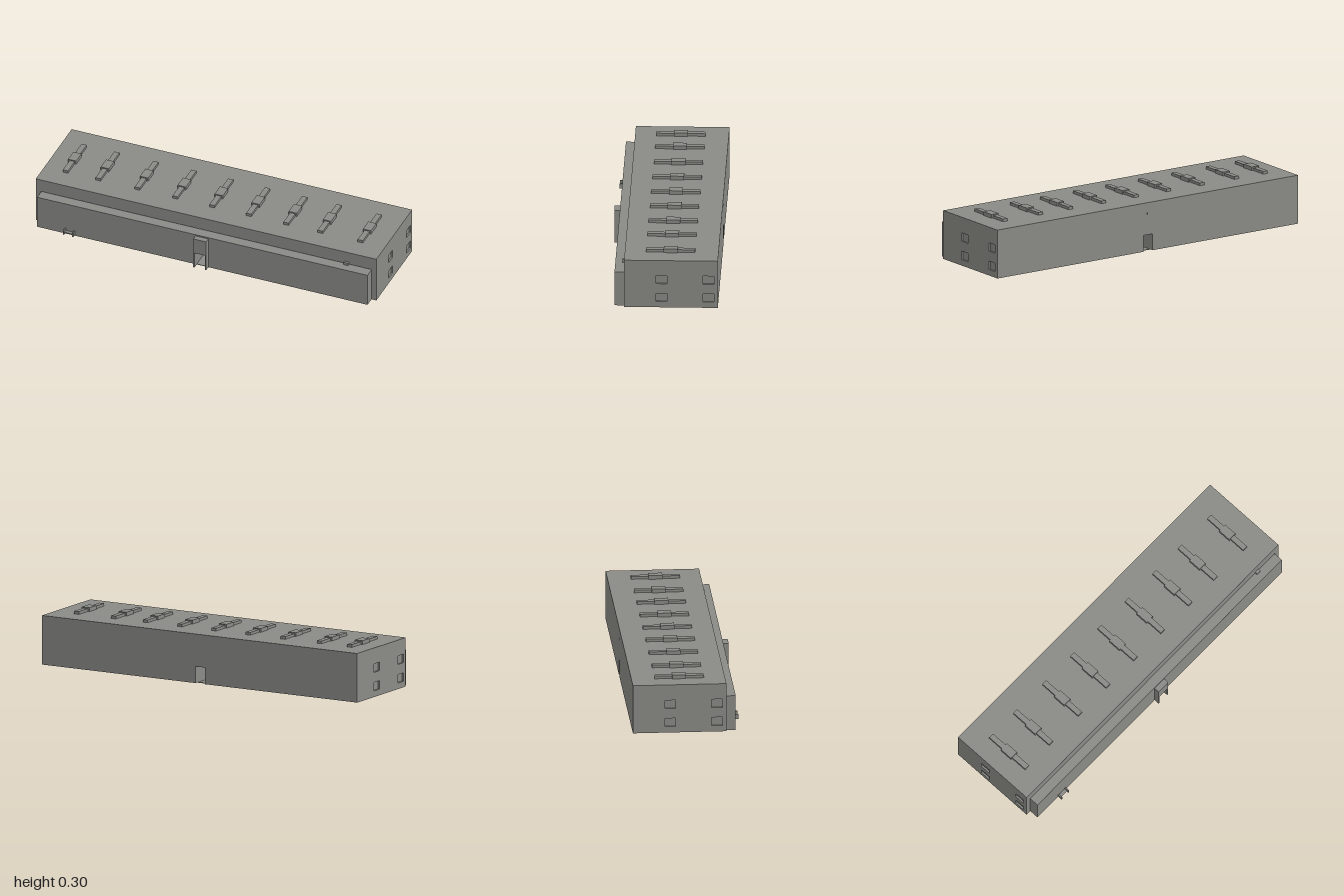
import * as THREE from 'three';

export function createModel() {
  const model = new THREE.Group();
  const grey = new THREE.MeshStandardMaterial({ color: 0x8a8a86 });
  grey.name = 'concrete grey';

  const add = (name, geometry, parent = model) => {
    const mesh = new THREE.Mesh(geometry, grey);
    mesh.name = name;
    parent.add(mesh);
    return mesh;
  };
  // Box given by its limits on each axis
  const box = (name, x0, x1, y0, y1, z0, z1, parent) =>
    add(name, new THREE.BoxGeometry(x1 - x0, y1 - y0, z1 - z0), parent)
      .position.set((x0 + x1) / 2, (y0 + y1) / 2, (z0 + z1) / 2);
  const outline = (points) => new THREE.Shape(points.map(([x, y]) => new THREE.Vector2(x, y)));
  // Wall standing on the ground with a notch cut up from its foot
  const notchedWall = (name, x0, x1, base, top, n0, n1, nTop, z0, z1) => {
    const shape = outline([[x0, base], [n0, base], [n0, nTop], [n1, nTop],
      [n1, base], [x1, base], [x1, top], [x0, top]]);
    add(name, new THREE.ExtrudeGeometry(shape, { depth: z1 - z0, bevelEnabled: false })).position.z = z0;
  };

  const front = 0.214, back = -0.295, height = 0.275, base = 0.003, wall = 0.01;
  const doorL = -0.033, doorR = 0.027, doorTop = 0.095;

  // Outer hall, open underneath
  box('roof', -1, 1, height - wall, height, back, front);
  notchedWall('frontWall', -1 + wall, 1 - wall, base, height - wall, -0.973, 0.973, 0.2, front - wall, front);
  notchedWall('backWall', -1 + wall, 1 - wall, base, height - wall, doorL, doorR, doorTop, back, back + wall);

  // End walls with four recessed windows, the second turned half round
  const middle = (front + back) / 2, half = (front - back) / 2;
  for (const side of [1, -1]) {
    const end = new THREE.Group();
    end.name = side > 0 ? 'leftEnd' : 'rightEnd';
    const shape = outline([[-half, base], [half, base], [half, height - wall], [-half, height - wall]]);
    for (const z of [0.011, -0.244]) {
      for (const y of [0.0605, 0.1635]) {
        const u = middle - z, w = 0.0295, h = 0.0235;
        shape.holes.push(new THREE.Path([[u - w, y - h], [u - w, y + h], [u + w, y + h], [u + w, y - h]]
          .map(([a, b]) => new THREE.Vector2(a, b))));
        box('windowPane', u - w - 0.004, u + w + 0.004, y - h - 0.004, y + h + 0.004, -0.004, 0, end);
      }
    }
    add('endWall', new THREE.ExtrudeGeometry(shape, { depth: wall, bevelEnabled: false }), end);
    end.rotation.y = side * Math.PI / 2;
    end.position.set(side * (1 - wall), 0, middle);
    model.add(end);
  }

  // Inner block that shows as the low front wing, with a passage through it
  notchedWall('innerBlock', -0.97, 0.97, 0, 0.195, doorL, doorR, doorTop, -0.267, 0.267);
  box('passageFloor', doorL, doorR, 0, 0.003, -0.267, 0.267);
  notchedWall('frontPortal', -0.041, 0.035, 0, 0.187, doorL, doorR, doorTop, 0.267, 0.298);
  notchedWall('backDoorFrame', -0.041, 0.035, base, 0.103, doorL, doorR, doorTop, back + wall, -0.267);
  box('backLamp', -0.003, 0.003, 0.208, 0.22, back - 0.002, back);

  // Roof vents
  for (const x of [-0.874, -0.682, -0.452, -0.23, -0.013, 0.203, 0.422, 0.623, 0.858]) {
    const vent = new THREE.Group();
    vent.name = 'roofVent';
    box('ventDuct', x - 0.015, x + 0.015, height, 0.29, -0.168, 0.099, vent);
    box('ventHousing', x - 0.024, x + 0.024, height, 0.296, -0.073, 0.003, vent);
    model.add(vent);
  }

  // Small box above the wing
  box('wallBox', 0.814, 0.84, 0.2, 0.215, front, 0.229);

  // Bench by the front wall
  box('benchSeat', -0.805, -0.75, 0.013, 0.02, 0.267, 0.285);
  for (const x of [-0.808, -0.754]) box('benchEnd', x, x + 0.007, 0.008, 0.035, 0.267, 0.294);

  return model;
}
